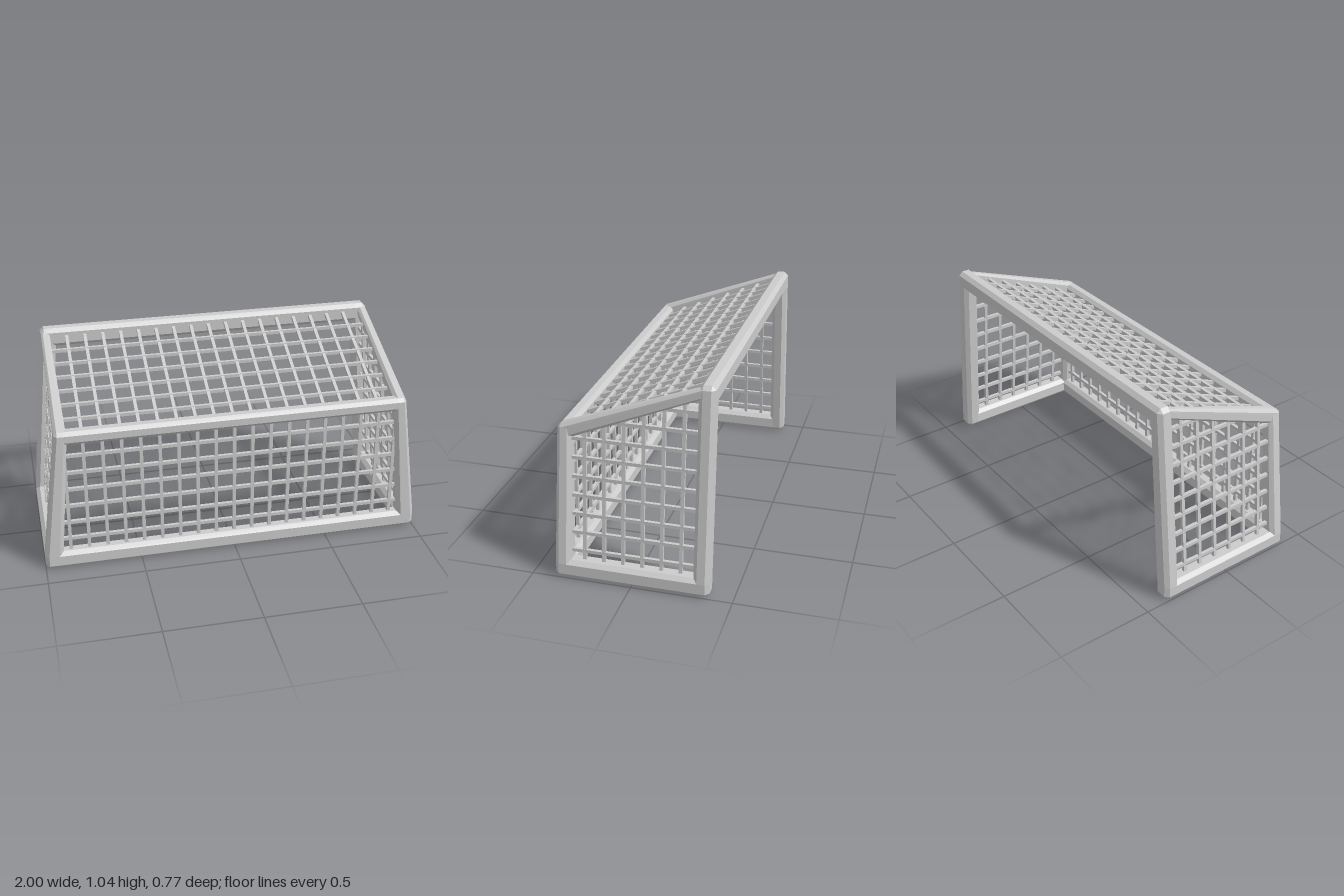
import * as THREE from 'three';
import { ConvexGeometry } from 'three/addons/geometries/ConvexGeometry.js';

const material = new THREE.MeshStandardMaterial({ color: 0xcccccc, flatShading: true });
const UP = new THREE.Vector3(0, 1, 0);
const STEP = 0.096; // net mesh spacing
const WIRE = 0.017; // net bar thickness

// Corner points of a chamfered block: centre c, half sizes h
function block(c, h, bevel = 0.02) {
  const points = [];
  for (const sx of [-1, 1]) for (const sy of [-1, 1]) for (const sz of [-1, 1]) {
    const s = [sx, sy, sz];
    for (let full = 0; full < 3; full++) {
      const p = s.map((d, i) => c[i] + d * (h[i] - (i === full ? 0 : Math.min(bevel, h[i] * 0.5))));
      points.push(new THREE.Vector3(...p));
    }
  }
  return points;
}

// Chamfered beam spanning two corner blocks
function beam(name, a, b) {
  const mesh = new THREE.Mesh(new ConvexGeometry([...a, ...b]), material);
  mesh.name = name;
  return mesh;
}

// Thin square net bar between two points
function netBar(group, a, b) {
  const from = new THREE.Vector3(...a);
  const to = new THREE.Vector3(...b);
  const dir = to.clone().sub(from);
  const mesh = new THREE.Mesh(new THREE.BoxGeometry(WIRE, dir.length(), WIRE), material);
  mesh.position.copy(from).add(to).multiplyScalar(0.5);
  mesh.quaternion.setFromUnitVectors(UP, dir.normalize());
  mesh.name = 'netBar';
  group.add(mesh);
}

// Height of the sloping roof and inward lean of the sides
const roofY = (z) => 0.745 + (0.32 - z) * 0.408;
const sideX = (y) => 0.955 - 0.098 * (y - 0.05);

function namedGroup(name, parent) {
  const group = new THREE.Group();
  group.name = name;
  parent.add(group);
  return group;
}

export function createModel() {
  const goal = new THREE.Group();
  goal.name = 'goal';

  // Corner blocks for one side (s = 1 left, -1 right)
  const corners = (s) => ({
    tallFoot: block([s * 0.955, 0.049, -0.345], [0.045, 0.047, 0.04]),
    lowFoot: block([s * 0.955, 0.049, 0.345], [0.045, 0.047, 0.04]),
    lowTop: block([s * 0.878, 0.745, 0.341], [0.031, 0.036, 0.035]),
    tallTop: block([s * 0.865, 0.995, -0.345], [0.04, 0.05, 0.04]),
    roofEnd: block([s * 0.88, 1.008, -0.33], [0.022, 0.024, 0.02], 0.01),
  });
  const left = corners(1);
  const right = corners(-1);

  // Frame
  const frame = namedGroup('frame', goal);
  for (const [side, c] of [['left', left], ['right', right]]) {
    frame.add(
      beam(side + 'TallPost', c.tallFoot, c.tallTop),
      beam(side + 'LowPost', c.lowFoot, c.lowTop),
      beam(side + 'GroundBar', c.tallFoot, c.lowFoot),
      beam(side + 'RoofBar', c.lowTop, c.roofEnd),
    );
  }
  frame.add(
    beam('crossbar', left.tallTop, right.tallTop),
    beam('lowCrossbar', left.lowTop, right.lowTop),
    beam('lowGroundBar', left.lowFoot, right.lowFoot),
  );

  // Upright net wall and sloping net roof
  const wallNet = namedGroup('wallNet', goal);
  const roofNet = namedGroup('roofNet', goal);
  for (let i = -9; i <= 9; i++) {
    const x = i * STEP;
    netBar(wallNet, [x, 0.05, 0.345], [x, 0.745, 0.341]);
    netBar(roofNet, [x, roofY(0.33), 0.33], [x, roofY(-0.33), -0.33]);
  }
  for (let i = 0; i < 6; i++) {
    const y = 0.158 + i * STEP;
    const x = sideX(y);
    netBar(wallNet, [-x, y, 0.343], [x, y, 0.343]);
    const z = 0.23 - i * 0.0885;
    netBar(roofNet, [-0.88, roofY(z), z], [0.88, roofY(z), z]);
  }

  // Leaning side nets, trimmed to the roof slope
  for (const s of [1, -1]) {
    const net = namedGroup(s > 0 ? 'leftNet' : 'rightNet', goal);
    for (let i = 0; i < 6; i++) {
      const z = 0.243 - i * STEP;
      const top = roofY(z);
      netBar(net, [s * 0.955, 0.05, z], [s * sideX(top), top, z]);
    }
    for (let i = 0; i < 9; i++) {
      const y = 0.138 + i * 0.0955;
      const x = s * sideX(y);
      const zFront = Math.min(0.34, 0.32 - (y - 0.745) / 0.408);
      netBar(net, [x, y, zFront], [x, y, -0.34]);
    }
  }
  return goal;
}
